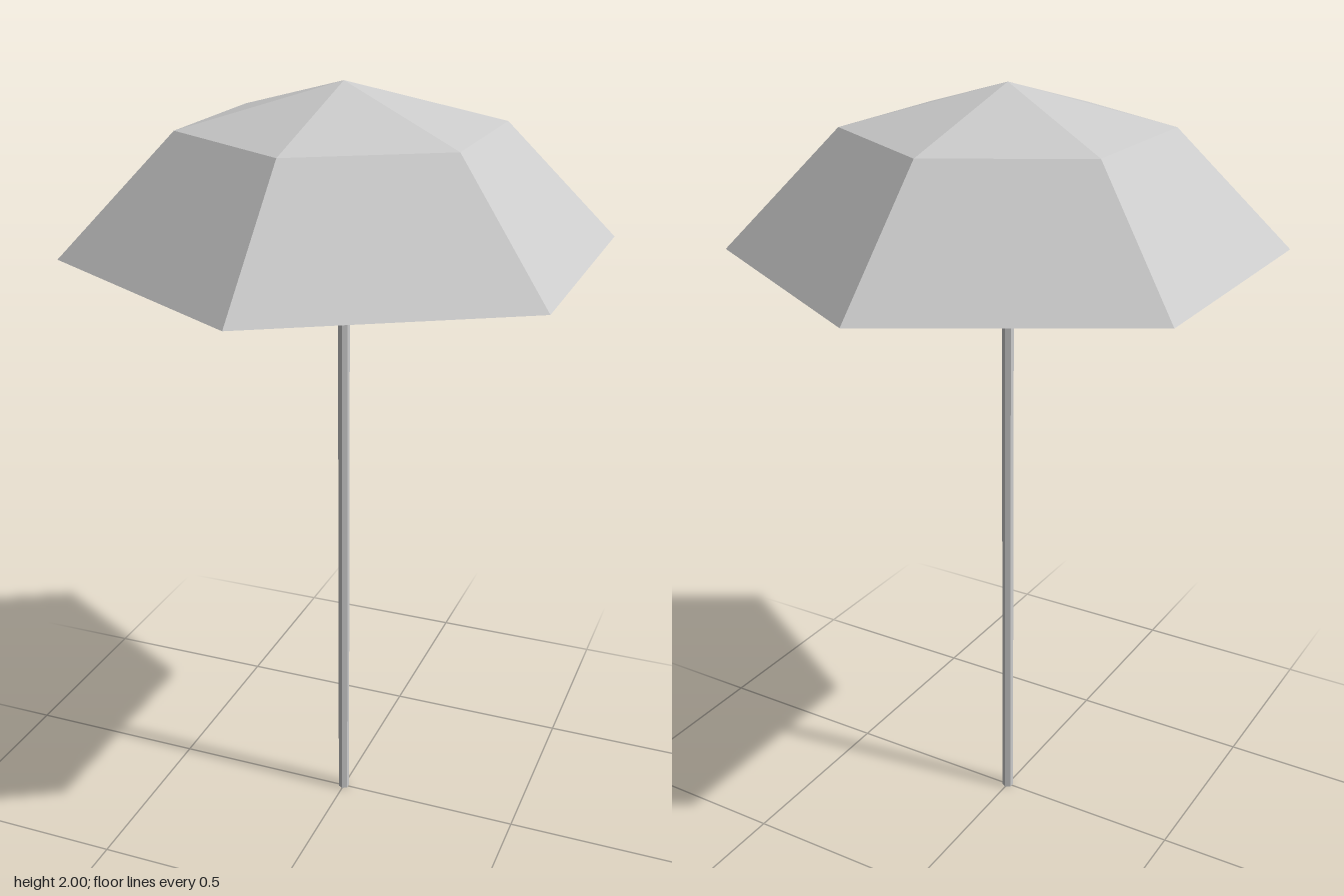
import * as THREE from 'three';

const SIDES = 6;

export function createModel() {
  const group = new THREE.Group();
  group.name = 'parasol';
  const material = new THREE.MeshStandardMaterial({ color: 0xcccccc, flatShading: true });

  // Canopy: thin six-sided shell, profile runs down the inside and up the outside
  const profile = [
    [0, 1.994], [0.397, 1.89], [0.685, 1.6],
    [0.69, 1.6], [0.4, 1.895], [0, 2],
  ].map(([r, y]) => new THREE.Vector2(r, y));
  const canopy = new THREE.Mesh(new THREE.LatheGeometry(profile, SIDES), material);
  canopy.name = 'canopy';
  group.add(canopy);

  // Pole: slim hexagonal rod reaching the underside of the canopy's peak
  const poleHeight = 1.99;
  const pole = new THREE.Mesh(new THREE.CylinderGeometry(0.015, 0.015, poleHeight, SIDES), material);
  pole.name = 'pole';
  pole.position.y = poleHeight / 2;
  group.add(pole);

  return group;
}
